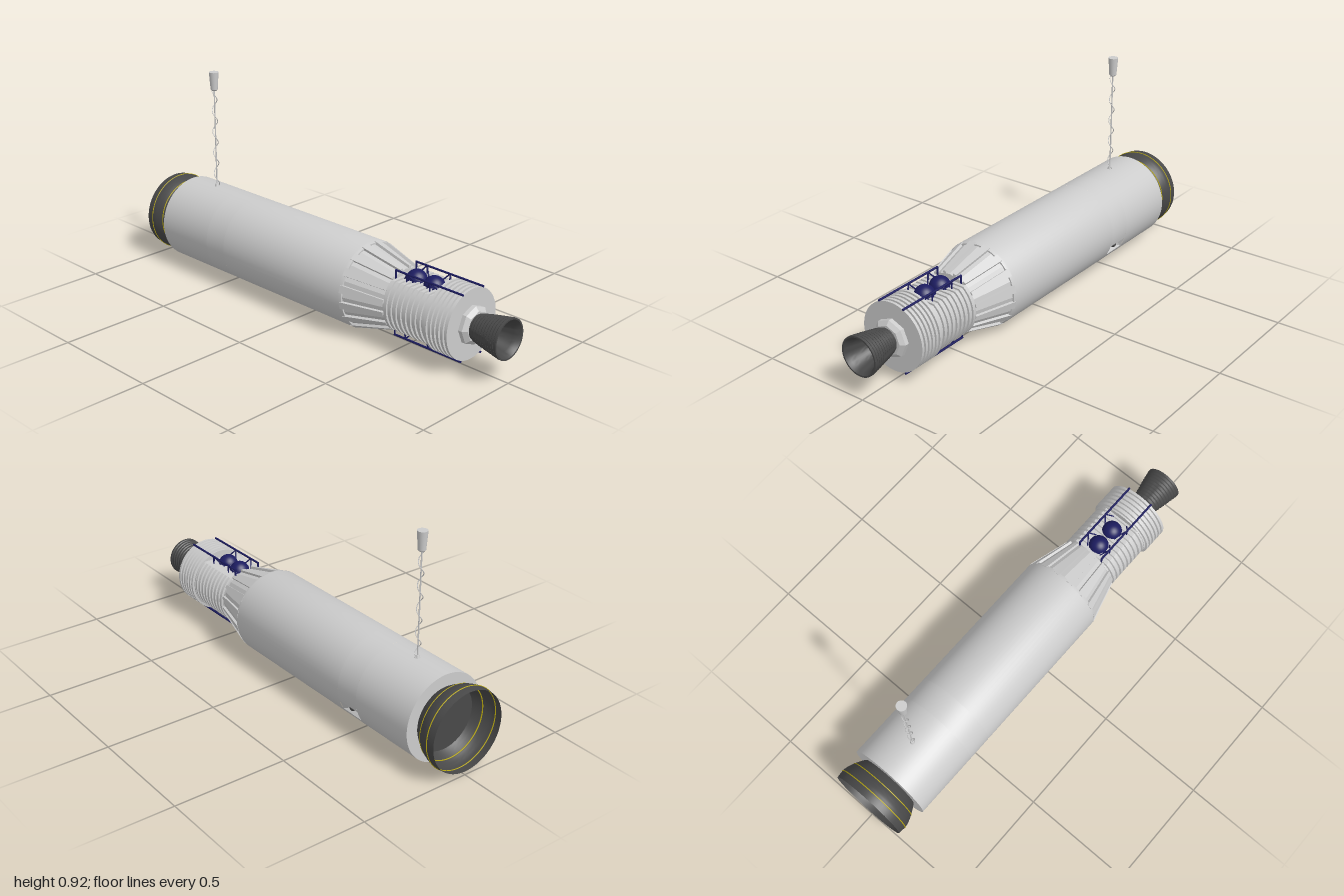
import * as THREE from 'three';
import { toCreasedNormals } from 'three/addons/utils/BufferGeometryUtils.js';

const mat = (color, extra = {}) => new THREE.MeshStandardMaterial({ color, ...extra });
const grey = mat(0xcccccc);
const greyFlat = mat(0xcccccc, { flatShading: true, side: THREE.DoubleSide });
const dark = mat(0x484848, { side: THREE.DoubleSide });
const navy = mat(0x1c1c60);
const yellow = mat(0xb8a810);
const V = (x, y, z) => new THREE.Vector3(x, y, z);

export function createModel() {
  const model = new THREE.Group();
  model.name = 'spacecraft';
  // everything round is built about the long axis, which runs along z
  const ship = new THREE.Group();
  ship.name = 'hull';
  ship.position.set(-0.003, 0.193, 0);
  model.add(ship);

  const add = (name, geometry, material, parent = ship) => {
    const m = new THREE.Mesh(geometry, material);
    m.name = name;
    parent.add(m);
    return m;
  };
  // profile points are [radius, z], z rising for outward faces
  const turned = (pts, segs = 64, start = 0, length = Math.PI * 2) => {
    const g = new THREE.LatheGeometry(pts.map(p => new THREE.Vector2(...p)), segs, start, length);
    return toCreasedNormals(g.rotateX(Math.PI / 2), 0.5);
  };
  const bar = (name, a, b, r, material, parent) => {
    const m = add(name, new THREE.CylinderGeometry(r, r, a.distanceTo(b), 6), material, parent);
    m.position.copy(a).add(b).multiplyScalar(0.5);
    m.quaternion.setFromUnitVectors(V(0, 1, 0), b.clone().sub(a).normalize());
  };
  // grooved profile between two z values
  const grooved = (z0, z1, n, rOut, rIn) => {
    const pts = [[0, z0]], d = (z1 - z0) / n;
    for (let i = 0; i < n; i++) {
      const z = z0 + i * d;
      pts.push([rIn, z], [rIn, z + d * 0.35], [rOut, z + d * 0.45], [rOut, z + d]);
    }
    pts.push([0, z1]);
    return pts;
  };
  const quads = (corners, faces) => {
    const g = new THREE.BufferGeometry().setFromPoints(corners);
    g.setIndex(faces.flatMap(([a, b, c, d]) => [a, b, c, a, c, d]));
    const flat = g.toNonIndexed();
    flat.computeVertexNormals();
    return flat;
  };

  // main tank, with a gap in the middle band for the side port
  const R = 0.191, zA = -0.56, zB = -0.445;
  const p0 = THREE.MathUtils.degToRad(56.5), p1 = THREE.MathUtils.degToRad(72.2);
  add('bodyRear', turned([[0, -0.866], [R, -0.866], [R, zA]]), grey);
  add('bodyPortBand', turned([[R, zA], [R, zB]], 64, p1, Math.PI * 2 - (p1 - p0)), grey);
  add('bodyFront', turned([[R, zB], [R, 0.265], [0.186, 0.28], [0, 0.28]]), grey);

  // side port: sloped pocket with a small thruster in it
  const onHull = (r, phi, z) => V(r * Math.sin(phi), -r * Math.cos(phi), z);
  const mid = (p0 + p1) / 2;
  const pocket = [
    onHull(R, p0, zA), onHull(R, p1, zA), onHull(R, p1, zB), onHull(R, p0, zB),
    onHull(0.172, mid - 0.09, -0.525), onHull(0.165, mid + 0.07, -0.525),
    onHull(0.165, mid + 0.07, -0.48), onHull(0.172, mid - 0.09, -0.48)];
  add('portPocket', quads(pocket, [[0, 1, 5, 4], [1, 2, 6, 5], [2, 3, 7, 6], [3, 0, 4, 7], [4, 5, 6, 7]]), greyFlat);
  const thruster = add('portThruster', new THREE.SphereGeometry(0.014, 20, 12), dark);
  thruster.position.copy(onHull(0.174, mid, -0.5025));

  // faceted cone with tapered ribs
  const sides = 16, zc0 = 0.27, zc1 = 0.465;
  const cone = new THREE.CylinderGeometry(0.13, 0.183, zc1 - zc0, sides);
  add('adapterCone', cone.rotateX(Math.PI / 2).translate(0, 0, (zc0 + zc1) / 2), greyFlat);
  for (let i = 0; i < sides; i++) {
    const corners = [];
    for (const [z, r, w] of [[zc0, 0.191, 0.017], [zc1, 0.139, 0.007]])
      for (const [x, y] of [[-w, r - 0.025], [w, r - 0.025], [w, r], [-w, r]]) corners.push(V(x, y, z));
    const rib = add('adapterRib', quads(corners,
      [[3, 2, 1, 0], [4, 5, 6, 7], [0, 1, 5, 4], [1, 2, 6, 5], [2, 3, 7, 6], [3, 0, 4, 7]]), greyFlat);
    rib.rotation.z = (i + 0.5) * Math.PI * 2 / sides;
  }

  // grooved equipment section, flattened above and below for the tank bays
  const bay = new THREE.LatheGeometry(
    grooved(0.46, 0.69, 9, 0.14, 0.131).map(p => new THREE.Vector2(...p)), 64).rotateX(Math.PI / 2);
  const pos = bay.attributes.position;
  for (let i = 0; i < pos.count; i++) {
    const lim = Math.hypot(pos.getX(i), pos.getY(i)) > 0.135 ? 0.109 : 0.102;
    pos.setY(i, THREE.MathUtils.clamp(pos.getY(i), -lim, lim));
  }
  add('equipmentSection', toCreasedNormals(bay, 0.5), grey);
  add('frontDrum', turned(grooved(0.685, 0.812, 6, 0.152, 0.142)), grey);
  add('engineMount', turned([[0, 0.81], [0.083, 0.81], [0.083, 0.83], [0.065, 0.845], [0, 0.845]], 8), greyFlat);

  // front engine nozzle: stepped outside, stepped inside down to the throat
  const outer = [], inner = [], steps = 11;
  for (let i = 0; i < steps; i++) {
    const t = i / (steps - 1), z = 0.838 + i * 0.162 / steps, dz = 0.162 / steps;
    const r = 0.054 + 0.033 * Math.pow(t, 0.8);
    outer.push([r - 0.004, z], [r, z + dz * 0.3], [r, z + dz]);
    if (i > 2 && i % 2) inner.unshift([r - 0.013 - 0.012 * (1 - t), z + dz], [r - 0.018 - 0.012 * (1 - t), z]);
  }
  const nozzle = add('frontNozzle', turned([...outer, [0.08, 1], ...inner, [0, 0.885]], 48), dark);
  const core = add('nozzleCore', new THREE.SphereGeometry(0.034, 24, 16).scale(1, 1, 0.5), grey);
  nozzle.position.x = core.position.x = -0.004;
  core.position.z = 0.89;

  // rear bell, open to the back
  const bell = new THREE.SplineCurve([[0.135, -0.862], [0.153, -0.89], [0.17, -0.925], [0.179, -0.96], [0.176, -1]]
    .map(p => new THREE.Vector2(...p))).getPoints(20).reverse().map(p => [p.x, p.y]);
  add('rearBell', turned(bell), dark);
  const plate = add('rearPlate', new THREE.CircleGeometry(0.142, 48), dark);
  plate.position.z = -0.872;
  for (const [r, z] of [[0.179, -0.965], [0.163, -0.91]]) {
    const band = add('bellStripe', new THREE.TorusGeometry(r, 0.0025, 6, 64), yellow);
    band.position.z = z;
  }

  // spherical tanks in the upper bay
  for (const z of [0.525, 0.618]) {
    const tank = add('sphericalTank', new THREE.SphereGeometry(0.045, 32, 20), navy);
    tank.position.set(0, 0.1, z);
  }

  // truss rails with posts and inward braces, above and below
  for (const sy of [1, -1]) for (const sx of [1, -1]) {
    const truss = new THREE.Group();
    truss.name = 'truss';
    ship.add(truss);
    const x = sx * 0.062, y = sy * 0.143, foot = sy * 0.1;
    bar('rail', V(x, y, 0.465), V(x, y, 0.815), 0.005, navy, truss);
    bar('post', V(x, y, 0.467), V(x, foot, 0.467), 0.004, navy, truss);
    for (const z of [0.525, 0.645]) {
      bar('post', V(x, y, z), V(x, foot, z), 0.003, navy, truss);
      for (const d of [-0.035, 0.035])
        bar('brace', V(x, y, z), V(sx * 0.035, foot, z + d), 0.003, navy, truss);
    }
  }

  // antenna: mast, spiral wire and cup
  const antenna = new THREE.Group();
  antenna.name = 'antenna';
  antenna.position.set(-0.004, 0, -0.7);
  model.add(antenna);
  bar('mast', V(0, 0.38, 0), V(0, 0.85, 0), 0.003, grey, antenna);
  const wire = [];
  for (let i = 0; i <= 90; i++) {
    const t = i / 90, a = t * Math.PI * 2 * 4.6;
    wire.push(V(0.0115 * Math.cos(a), 0.385 + 0.46 * t, 0.0115 * Math.sin(a)));
  }
  add('spiralWire', new THREE.TubeGeometry(new THREE.CatmullRomCurve3(wire), 200, 0.002, 6), grey, antenna);
  add('mastBase', new THREE.CylinderGeometry(0.007, 0.012, 0.016, 16).translate(0, 0.388, 0), grey, antenna);
  add('antennaCup', new THREE.CylinderGeometry(0.022, 0.016, 0.08, 24).translate(0, 0.885, 0), grey, antenna);
  add('cupBottom', new THREE.CylinderGeometry(0.016, 0.01, 0.006, 24).translate(0, 0.842, 0), grey, antenna);

  return model;
}
